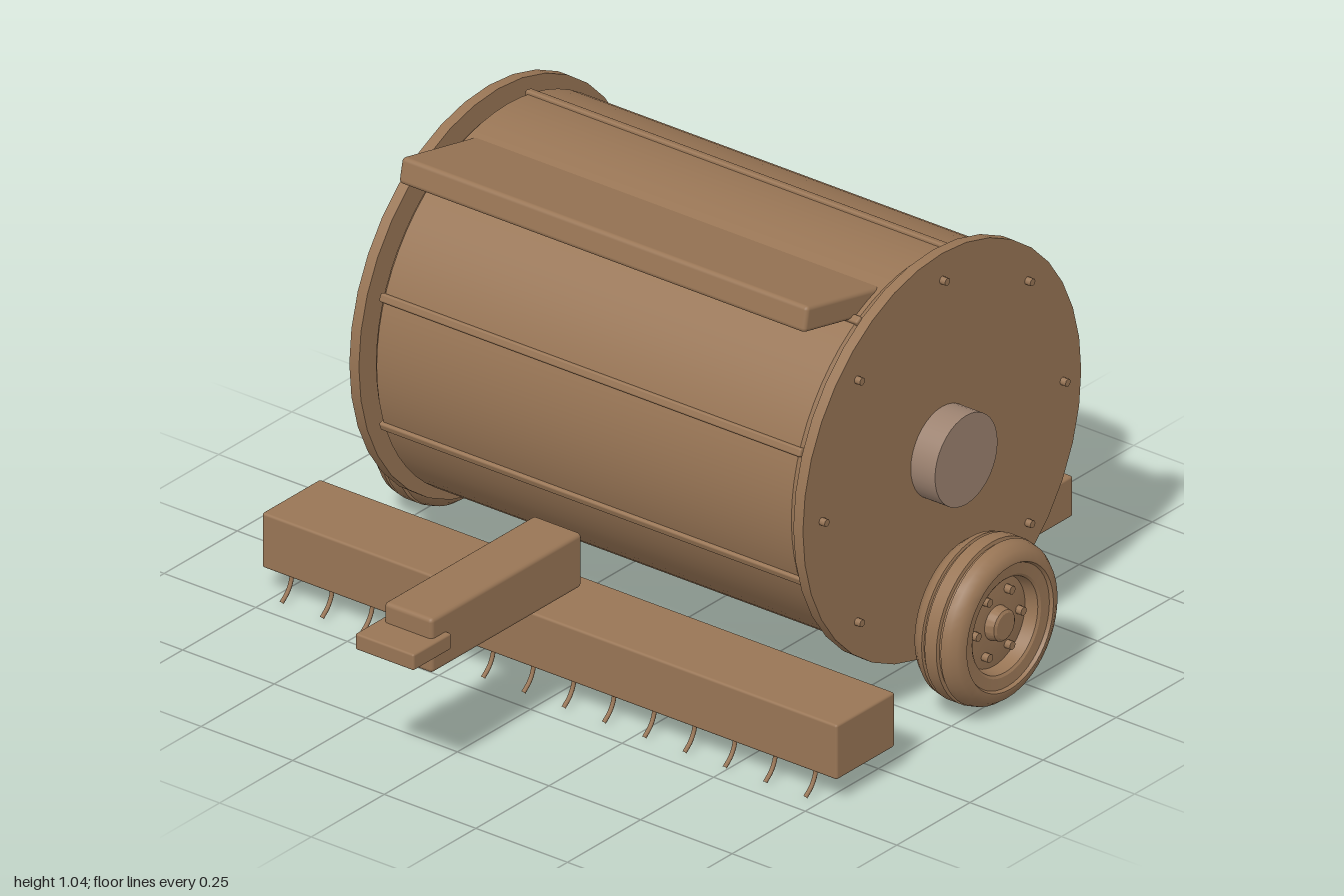
import * as THREE from 'three';
import { toCreasedNormals } from 'three/addons/utils/BufferGeometryUtils.js';
import { RoundedBoxGeometry } from 'three/addons/geometries/RoundedBoxGeometry.js';

const material = (name, color) => {
  const m = new THREE.MeshStandardMaterial({ color });
  m.name = name;
  return m;
};

export function createModel() {
  const brown = material('brown', 0x987555);
  const tan = material('tan', 0xba8b59);
  const greyBrown = material('grey brown', 0x9c8270);
  const root = new THREE.Group();

  const add = (name, geo, mat, x = 0, y = 0, z = 0, parent = root) => {
    const mesh = new THREE.Mesh(geo, mat);
    mesh.name = name;
    mesh.position.set(x, y, z);
    parent.add(mesh);
    return mesh;
  };
  // box given by its extents, with softened edges
  const block = (name, [x0, x1], [y0, y1], [z0, z1], r = 0.006) =>
    add(name, new RoundedBoxGeometry(x1 - x0, y1 - y0, z1 - z0, 2, r), brown,
      (x0 + x1) / 2, (y0 + y1) / 2, (z0 + z1) / 2);
  // cylinder and turned profile lying along x
  const rod = (r, len, seg = 36) => new THREE.CylinderGeometry(r, r, len, seg).rotateZ(-Math.PI / 2);
  const turned = (pts, seg = 48, crease = 0.6) => toCreasedNormals(
    new THREE.LatheGeometry(pts.map(([r, x]) => new THREE.Vector2(r, x)), seg).rotateZ(-Math.PI / 2), crease);

  const CY = 0.57, CZ = -0.132;

  // baling chamber: drum with raised seams
  add('drum', turned([[0, -0.575], [0.44, -0.575], [0.449, -0.566], [0.449, 0.566], [0.44, 0.575], [0, 0.575]], 64),
    brown, 0, CY, CZ);
  for (let i = 0; i < 5; i++) {
    const a = THREE.MathUtils.degToRad(-20 + 40 * i);
    const rib = add('drumRib', new RoundedBoxGeometry(1.15, 0.02, 0.024, 2, 0.005), brown,
      0, CY + Math.sin(a) * 0.445, CZ + Math.cos(a) * 0.445);
    rib.rotation.x = -a;
  }

  // tyre and dished rim in one turned profile
  const wheelGeo = turned([
    [0, -0.055], [0.11, -0.055], [0.14, -0.065], [0.155, -0.066], [0.172, -0.058], [0.184, -0.042],
    [0.188, -0.026], [0.182, -0.024], [0.182, -0.018], [0.19, -0.016], [0.19, 0.016], [0.182, 0.018],
    [0.182, 0.024], [0.188, 0.026], [0.184, 0.042], [0.172, 0.058], [0.155, 0.066], [0.148, 0.066],
    [0.144, 0.058], [0.118, 0.056], [0.112, 0.052], [0.106, 0.022], [0.06, 0.028], [0.04, 0.028],
    [0.036, 0.05], [0.03, 0.054], [0, 0.054]], 48, 0.5);

  for (const s of [1, -1]) {
    // side disc with its ring of bolts and hub
    add('sideDisc', rod(0.476, 0.026), brown, s * 0.606, CY, CZ);
    for (let i = 0; i < 8; i++) {
      const a = i * Math.PI / 4;
      add('discBolt', rod(0.009, 0.018, 8), brown, s * 0.625, CY + Math.sin(a) * 0.412, CZ + Math.cos(a) * 0.412);
    }
    add('hub', rod(0.107, 0.07), greyBrown, s * 0.65, CY, CZ);

    // wheel
    const wheel = new THREE.Group();
    wheel.name = s > 0 ? 'leftWheel' : 'rightWheel';
    wheel.position.set(s * 0.739, 0.205, CZ);
    wheel.rotation.y = s > 0 ? 0 : Math.PI;
    root.add(wheel);
    add('tyreAndRim', wheelGeo, brown, 0, 0, 0, wheel);
    for (let i = 0; i < 6; i++) {
      const a = i * Math.PI / 3;
      add('wheelBolt', rod(0.01, 0.02, 8), brown, 0.032, Math.sin(a) * 0.077, Math.cos(a) * 0.077, wheel);
    }
    // end wall of the tank rack
    block('rackEnd', s > 0 ? [0.368, 0.4] : [-0.4, -0.368], [0.045, 0.143], [-0.855, -0.512]);
  }

  // tilted board on top
  const board = add('topBoard', new RoundedBoxGeometry(1.11, 0.06, 0.27, 2, 0.01), brown, 0, 0.993, 0.121);
  board.rotation.x = -0.21;

  // drawbar and hitch
  block('drawbar', [-0.066, 0.066], [0.282, 0.413], [0.405, 0.92], 0.01);
  block('hitch', [-0.08, 0.08], [0.327, 0.366], [0.87, 1.0], 0.005);

  // pickup bar with curved tines
  block('pickupBar', [-0.785, 0.785], [0.063, 0.195], [0.237, 0.436]);
  const tineCurve = new THREE.CatmullRomCurve3([
    [0, 0.08, 0.42], [0, 0.05, 0.422], [0, 0.026, 0.435], [0, 0.008, 0.456],
  ].map(p => new THREE.Vector3(...p)));
  const tineGeo = new THREE.TubeGeometry(tineCurve, 10, 0.005, 8);
  for (let i = 0; i < 14; i++) add('tine', tineGeo, brown, -0.715 + 0.11 * i);

  // rear tank with rounded ends and three bands, resting through its rack
  const end = [[0, 0.33], [0.19, 0.33], [0.216, 0.325], [0.239, 0.31], [0.252, 0.289], [0.257, 0.262]];
  add('tank', turned([...end.map(([r, x]) => [r, -x]), ...end.reverse()], 48, 0.8), tan, 0, 0.293, -0.739);
  for (const x of [-0.205, 0, 0.205])
    add('tankBand', new THREE.TorusGeometry(0.256, 0.005, 8, 48).rotateY(Math.PI / 2), tan, x, 0.293, -0.739);
  block('rackFloor', [-0.39, 0.39], [0.043, 0.063], [-0.855, -0.512], 0.004);

  return root;
}
